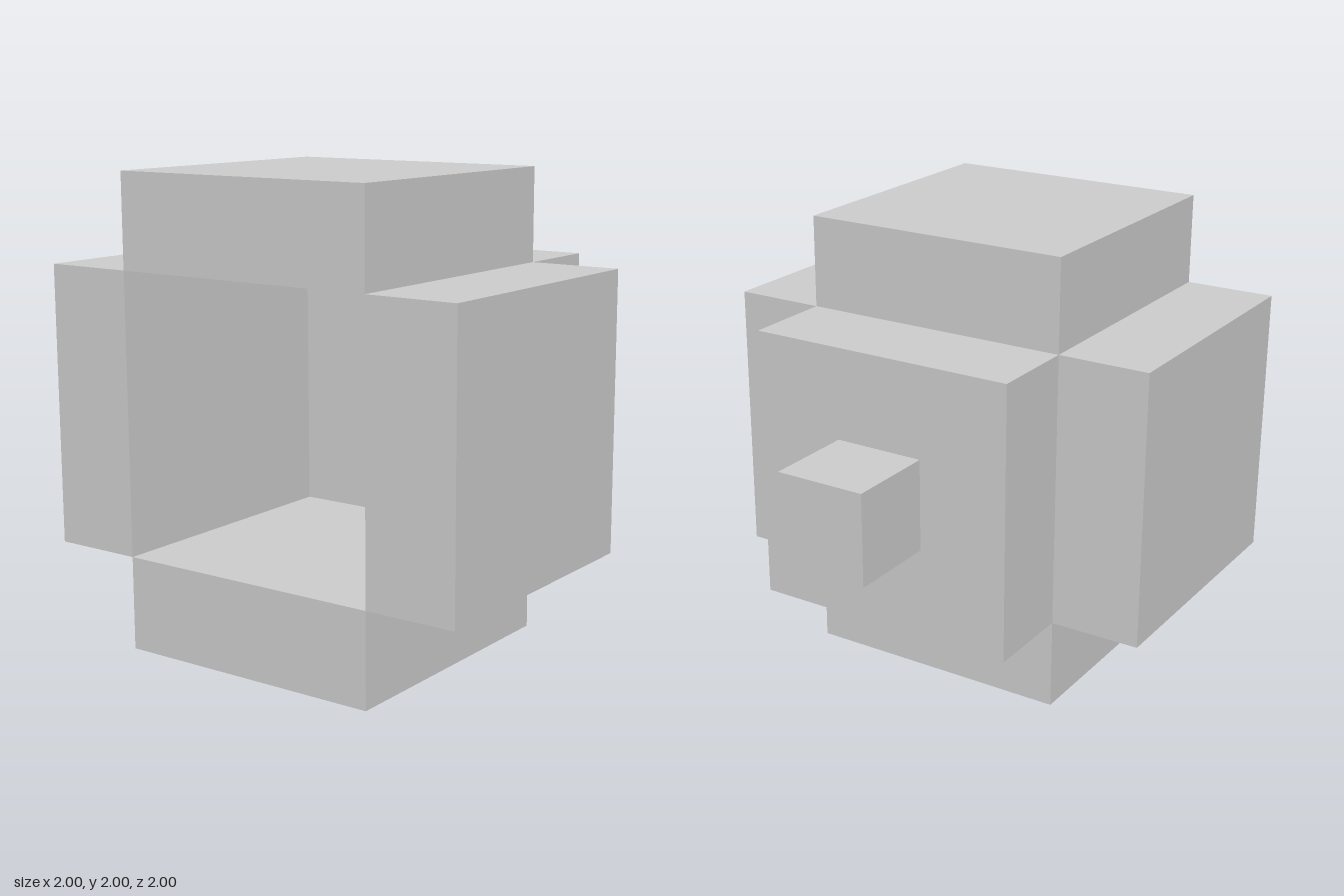
import * as THREE from 'three';

export function createModel() {
  const model = new THREE.Group();
  const grey = new THREE.MeshStandardMaterial({ color: 0xcccccc });
  grey.name = 'plain grey';

  const add = (name, geometry, x, y, z) => {
    const mesh = new THREE.Mesh(geometry, grey);
    mesh.name = name;
    mesh.position.set(x, y, z);
    model.add(mesh);
  };

  // Four slabs around the open-fronted chamber
  for (const s of [1, -1]) {
    add(s > 0 ? 'leftWall' : 'rightWall', new THREE.BoxGeometry(0.4, 1.2, 1.2), s * 0.8, 1, 0.4);
    add(s > 0 ? 'roof' : 'floor', new THREE.BoxGeometry(1.2, 0.4, 1.2), 0, 1 + s * 0.8, 0.4);
  }

  // Back wall with a square opening
  const square = (Type, h) => new Type([
    new THREE.Vector2(-h, -h), new THREE.Vector2(h, -h),
    new THREE.Vector2(h, h), new THREE.Vector2(-h, h),
  ]);
  const wall = square(THREE.Shape, 0.6);
  wall.holes.push(square(THREE.Path, 0.2));
  add('backWall', new THREE.ExtrudeGeometry(wall, { depth: 0.4, bevelEnabled: false }), 0, 1, -0.6);

  // Small block closing the opening from behind
  add('rearBlock', new THREE.BoxGeometry(0.4, 0.4, 0.4), 0, 1, -0.8);

  // Little ball set in the upper corner of the opening
  add('cornerBall', new THREE.SphereGeometry(0.05, 32, 16), 0.2, 1.2, -0.4);

  return model;
}
